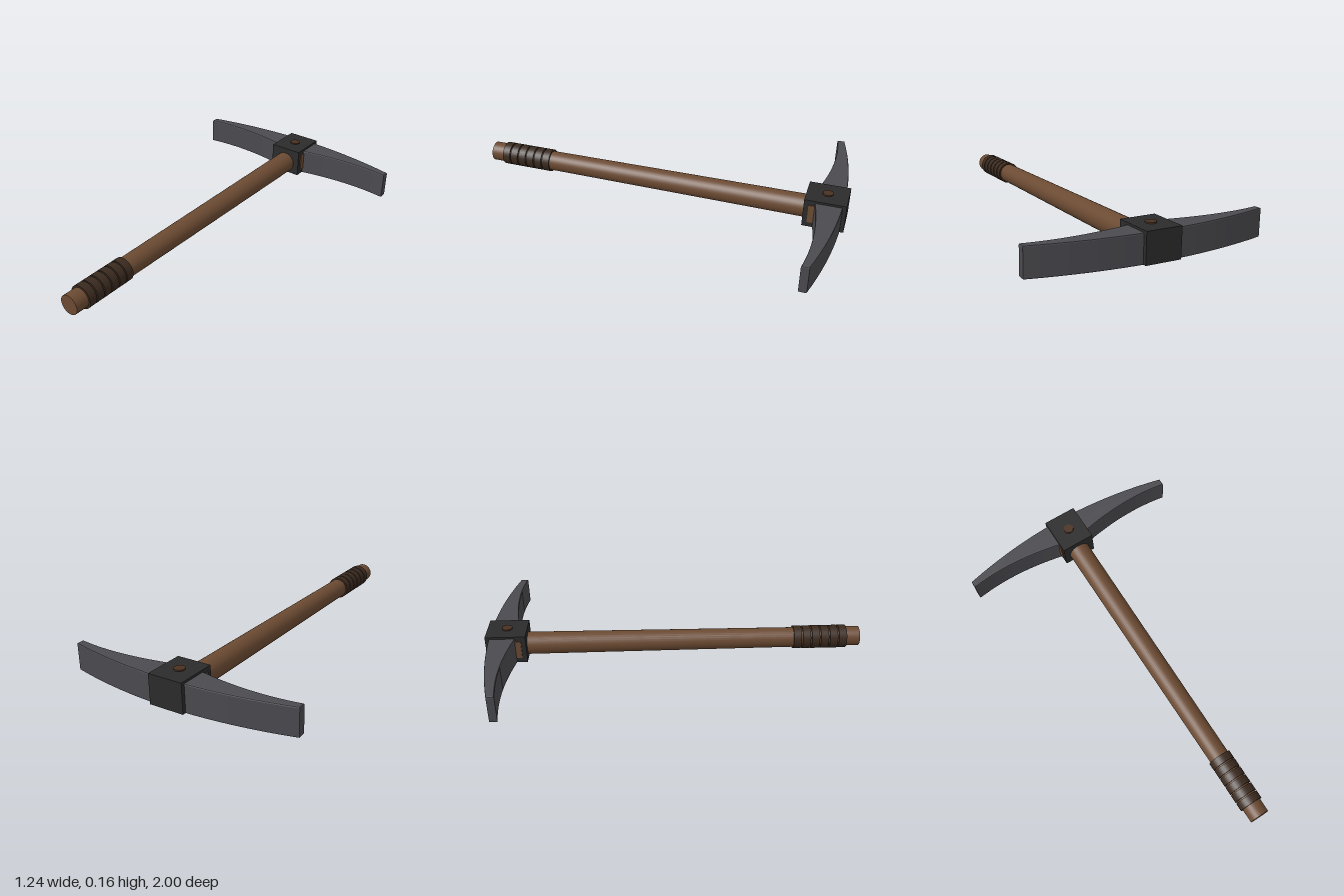
import * as THREE from 'three';

const mat = (name, color, extra = {}) => {
  const m = new THREE.MeshStandardMaterial({ color, ...extra });
  m.name = name;
  return m;
};

export function createModel() {
  const wood = mat('wood', 0x6b4a32);
  const wrap = mat('dark leather', 0x3a2a1f);
  const steel = mat('steel', 0x4a4a4f);
  const iron = mat('dark iron', 0x2b2b2b);
  const rivetBrown = mat('rivet brown', 0x4a3222);

  const model = new THREE.Group();
  model.name = 'pickaxe';
  const add = (name, geometry, material, x, y, z) => {
    const mesh = new THREE.Mesh(geometry, material);
    mesh.name = name;
    mesh.position.set(x, y, z);
    model.add(mesh);
    return mesh;
  };
  const axisY = 0.066;

  // Tapered shaft, thicker toward the head
  const shaft = new THREE.CylinderGeometry(0.052, 0.06, 1.85, 32).rotateX(Math.PI / 2);
  add('handle', shaft, wood, 0, axisY, 0.075);

  // Grip bands near the butt
  const band = new THREE.CylinderGeometry(0.062, 0.062, 0.042, 32).rotateX(Math.PI / 2);
  for (let i = 0; i < 6; i++) add('gripBand', band, wrap, 0, axisY, 0.661 + i * 0.049);

  // Curved blade: plan outline extruded upward with a small bevel
  const b = 0.006;
  const tip = 0.618 - b;
  const outline = new THREE.Shape();
  outline.moveTo(-tip, 0.865 + b);
  outline.quadraticCurveTo(-0.37, 0.906 + b, -0.08, 0.842 + b);
  outline.lineTo(0.08, 0.842 + b);
  outline.quadraticCurveTo(0.37, 0.906 + b, tip, 0.865 + b);
  outline.lineTo(tip, 0.905 - b);
  outline.quadraticCurveTo(0, 1.06 - b, -tip, 0.905 - b);
  outline.closePath();
  const blade = new THREE.ExtrudeGeometry(outline, {
    depth: 0.145 - 2 * b, bevelEnabled: true, bevelSize: b, bevelThickness: b,
    bevelSegments: 2, curveSegments: 20,
  }).rotateX(-Math.PI / 2);
  add('blade', blade, steel, 0, b, 0);

  // Socket block with side wedges and a top rivet
  add('headBlock', new THREE.BoxGeometry(0.184, 0.153, 0.21), iron, 0, 0.0795, -0.895);
  for (const side of [-1, 1]) {
    add('sideWedge', new THREE.BoxGeometry(0.02, 0.1, 0.035), wood, side * 0.087, 0.08, -0.832);
  }
  add('rivet', new THREE.CylinderGeometry(0.027, 0.027, 0.02, 20), rivetBrown, 0, 0.153, -0.895);

  return model;
}
